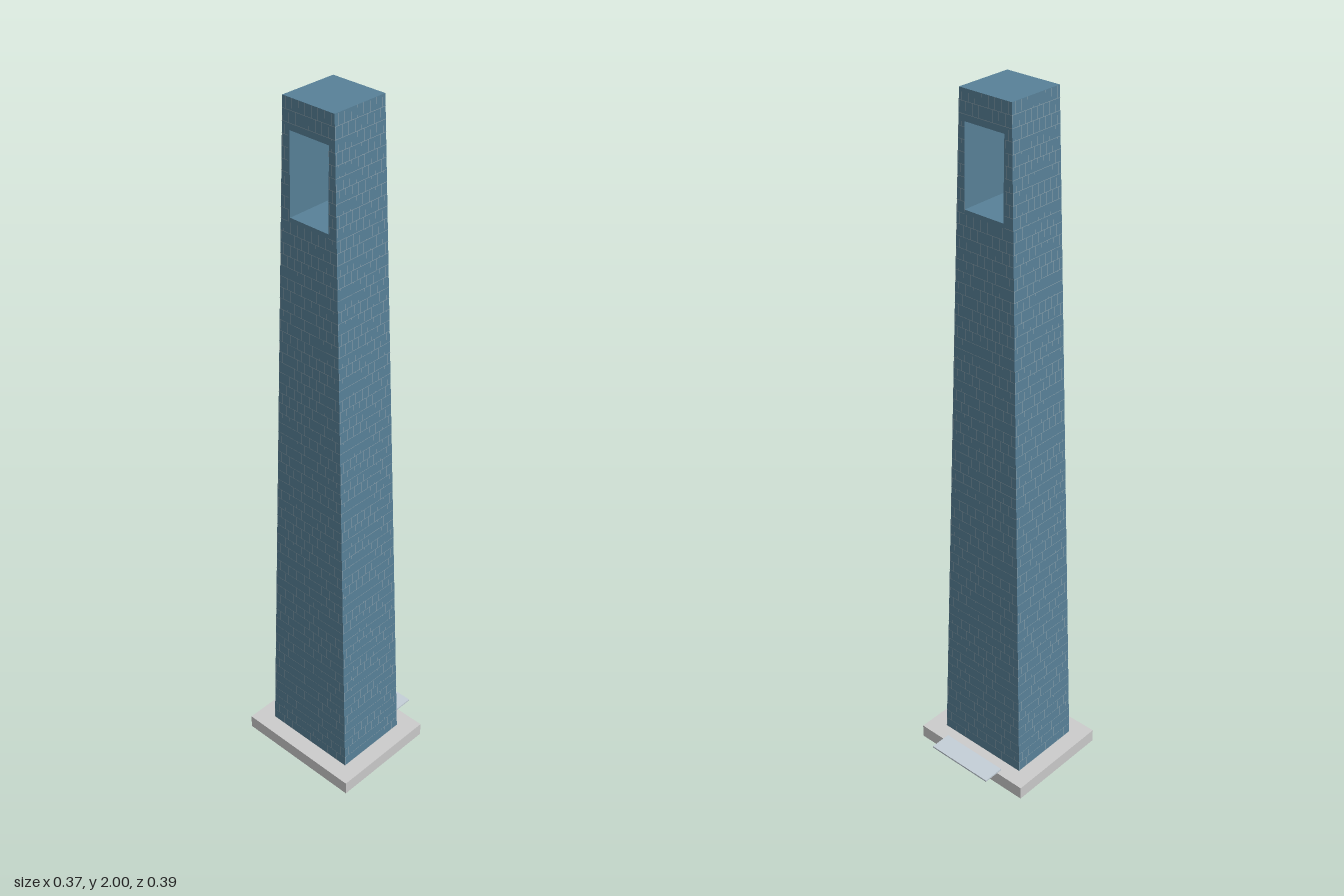
import * as THREE from 'three';

const H = 2, CX = -0.025, CZ = -0.0015;
const WIN = { y0: 1.705, y1: 1.922, z0: -0.061, z1: 0.063 };
const lerp = THREE.MathUtils.lerp;
const halfX = y => lerp(0.113, 0.0825, y / H);
const halfZ = y => lerp(0.1455, 0.081, y / H);

// Tapered shaft: side profile with the sky opening, extruded across and narrowed by height
function shaftGeometry() {
  const s = new THREE.Shape();
  const b = halfZ(0), t = halfZ(H);
  s.moveTo(-CZ - b, 0.001);
  s.lineTo(-CZ + b, 0.001);
  s.lineTo(-CZ + t, H);
  s.lineTo(-CZ - t, H);
  s.closePath();
  const hole = new THREE.Path();
  hole.moveTo(-WIN.z1, WIN.y0);
  hole.lineTo(-WIN.z1, WIN.y1);
  hole.lineTo(-WIN.z0, WIN.y1);
  hole.lineTo(-WIN.z0, WIN.y0);
  hole.closePath();
  s.holes.push(hole);
  const g = new THREE.ExtrudeGeometry(s, { depth: 1, bevelEnabled: false });
  g.rotateY(Math.PI / 2);
  const p = g.attributes.position;
  for (let i = 0; i < p.count; i++) {
    p.setX(i, CX + (p.getX(i) * 2 - 1) * halfX(p.getY(i)));
  }
  g.computeVertexNormals();
  return g;
}

// Point on a facade: side 0..3 = +z, +x, -z, -x; u runs -1..1 left to right seen from outside
function facadePoint(side, u, y) {
  const off = 0.0006, hx = halfX(y), hz = halfZ(y);
  if (side === 0) return [CX + u * hx, y, CZ + hz + off];
  if (side === 1) return [CX + hx + off, y, CZ - u * hz];
  if (side === 2) return [CX - u * hx, y, CZ - hz - off];
  return [CX - hx - off, y, CZ + u * hz];
}

// Fine panel joints: floor lines and staggered uprights on all four facades
function jointGeometry() {
  const pos = [];
  const strip = (side, ua, ub, ya, yb) => {
    const a = facadePoint(side, ua, ya), b = facadePoint(side, ub, ya);
    const c = facadePoint(side, ub, yb), d = facadePoint(side, ua, yb);
    pos.push(...a, ...b, ...c, ...a, ...c, ...d);
  };
  const rows = 64, cols = 8, y0 = 0.04, step = (H - y0) / rows, w = 0.0012;
  for (let side = 0; side < 4; side++) {
    const pierced = side % 2 === 1;
    for (let r = 0; r < rows; r++) {
      const y = y0 + r * step;
      const open = pierced && y + step > WIN.y0 && y < WIN.y1;
      const gap = open ? 0.064 / halfZ(y) : 0;
      if (open) {
        strip(side, -1, -gap, y, y + w);
        strip(side, gap, 1, y, y + w);
      } else strip(side, -1, 1, y, y + w);
      for (let c = 0; c < cols; c++) {
        const u = -1 + (2 * (c + (r % 2 ? 0.5 : 0.1))) / cols;
        if (open && Math.abs(u) < gap + 0.02) continue;
        const du = w / 2 / halfZ(y);
        strip(side, u - du, u + du, y, y + step);
      }
    }
  }
  const g = new THREE.BufferGeometry();
  g.setAttribute('position', new THREE.Float32BufferAttribute(pos, 3));
  g.computeVertexNormals();
  return g;
}

export function createModel() {
  const model = new THREE.Group();
  model.name = 'tower';
  const add = (name, geometry, color, x = 0, y = 0, z = 0) => {
    const m = new THREE.Mesh(geometry, new THREE.MeshStandardMaterial({ color }));
    m.name = name;
    m.position.set(x, y, z);
    model.add(m);
  };

  add('shaft', shaftGeometry(), 0x588198);
  add('panelJoints', jointGeometry(), 0x8fa3ae);
  // Plinth under the shaft and thin entrance canopy on the left side
  add('plinth', new THREE.BoxGeometry(0.324, 0.04, 0.389), 0xcccccc, CX, 0.02, CZ);
  add('entranceCanopy', new THREE.BoxGeometry(0.064, 0.005, 0.211), 0xc4cfd8, 0.154, 0.0445, CZ);
  return model;
}
